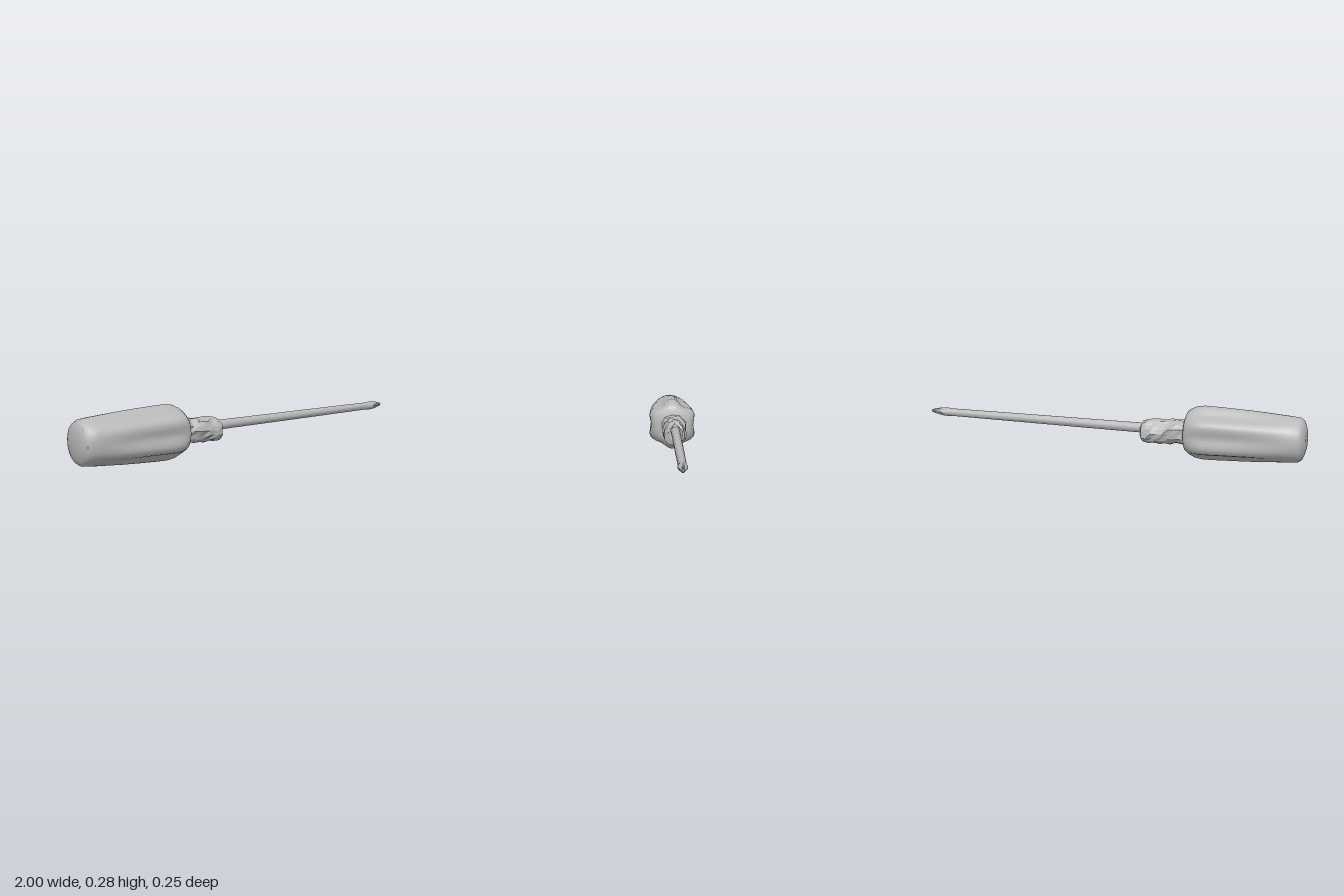
import * as THREE from 'three';
import { toCreasedNormals } from 'three/addons/utils/BufferGeometryUtils.js';

const steel = new THREE.MeshStandardMaterial({ color: 0xb8b8b8 });
steel.name = 'lightGrey';

// Skin of rings along x: each section is { x, y, z, r(angle) }, angle 0 points up, 90 degrees to +z
function loft(sections, sides) {
  const pos = [], index = [];
  sections.forEach((s) => {
    for (let j = 0; j < sides; j++) {
      const a = (j / sides) * Math.PI * 2, r = s.r(a, j);
      pos.push(s.x, s.y + r * Math.cos(a), s.z + r * Math.sin(a));
    }
  });
  for (let i = 0; i < sections.length - 1; i++) {
    for (let j = 0; j < sides; j++) {
      const k = (j + 1) % sides, a = i * sides, b = a + sides;
      if (sections[i].r(0, 0) > 0) index.push(a + j, a + k, b + j);
      if (sections[i + 1].r(0, 0) > 0) index.push(a + k, b + k, b + j);
    }
  }
  const g = new THREE.BufferGeometry();
  g.setAttribute('position', new THREE.Float32BufferAttribute(pos, 3));
  g.setIndex(index);
  g.computeVertexNormals();
  return g;
}

function seeded(seed) {
  return () => {
    seed = (seed * 16807) % 2147483647;
    return seed / 2147483647;
  };
}

export function createModel() {
  const group = new THREE.Group();
  const add = (name, geometry) => {
    const mesh = new THREE.Mesh(geometry, steel);
    mesh.name = name;
    group.add(mesh);
  };

  // Handle: round butt growing into six lobes with shallow flutes [x, lobe radius, valley radius]
  const handle = [
    [-1, 0, 0], [-1, 0.05, 0.05], [-0.992, 0.078, 0.078], [-0.982, 0.1, 0.099], [-0.965, 0.111, 0.109],
    [-0.92, 0.116, 0.112], [-0.85, 0.122, 0.113], [-0.75, 0.13, 0.113], [-0.65, 0.135, 0.113],
    [-0.55, 0.139, 0.115], [-0.49, 0.14, 0.117], [-0.45, 0.133, 0.117], [-0.42, 0.118, 0.11],
    [-0.405, 0.103, 0.1], [-0.398, 0.085, 0.085], [-0.395, 0, 0],
  ].map(([x, lobe, valley]) => ({
    x, y: 0.14, z: 0.012 - (x + 1) * 0.027,
    r: (a) => (lobe + valley) / 2 + ((lobe - valley) / 2) * Math.cos(6 * a),
  }));
  add('handle', toCreasedNormals(loft(handle, 48), 0.6));

  // Collar: rough, lumpy sleeve [x, y, z, radius]
  const random = seeded(41);
  const collar = [
    [-0.41, 0.138, -0.01, 0.07], [-0.38, 0.14, -0.018, 0.062], [-0.35, 0.137, -0.018, 0.059],
    [-0.32, 0.135, -0.015, 0.062], [-0.29, 0.133, -0.014, 0.061], [-0.26, 0.131, -0.014, 0.062],
    [-0.23, 0.13, -0.014, 0.061], [-0.2, 0.127, -0.016, 0.06], [-0.175, 0.126, -0.016, 0.056],
    [-0.168, 0.13, -0.018, 0.04], [-0.175, 0.14, -0.02, 0],
  ].map(([x, y, z, radius]) => {
    const lumps = Array.from({ length: 16 }, () => radius * (0.9 + 0.2 * random()));
    return { x, y, z, r: (a, j) => lumps[j] };
  });
  const collarGeometry = loft(collar, 16).toNonIndexed();
  collarGeometry.computeVertexNormals();
  add('collar', collarGeometry);

  // The shaft leans slightly back and up from the handle axis
  const axisY = (x) => 0.144 + (x + 0.17) * 0.004;
  const axisZ = (x) => -0.02 - (x + 0.17) * 0.025;

  const shaft = [[-0.22, 0], [-0.22, 0.026], [-0.1, 0.025], [0.4, 0.023], [0.9, 0.02], [0.9, 0]]
    .map(([x, radius]) => ({ x, y: axisY(x), z: axisZ(x), r: () => radius }));
  add('shaft', toCreasedNormals(loft(shaft, 16), 0.7));

  // Cross tip: four ribs with flutes deepening to the point [x, rib radius, flute depth]
  const tip = [
    [0.88, 0.0205, 0], [0.91, 0.0225, 0.001], [0.935, 0.022, 0.006], [0.96, 0.018, 0.009],
    [0.985, 0.012, 0.006], [1, 0.007, 0.003], [1, 0, 0],
  ].map(([x, radius, depth]) => ({
    x, y: axisY(x), z: axisZ(x),
    r: (a) => radius - depth * (0.5 - 0.5 * Math.cos(4 * a)),
  }));
  add('crossTip', toCreasedNormals(loft(tip, 24), 0.5));

  return group;
}
